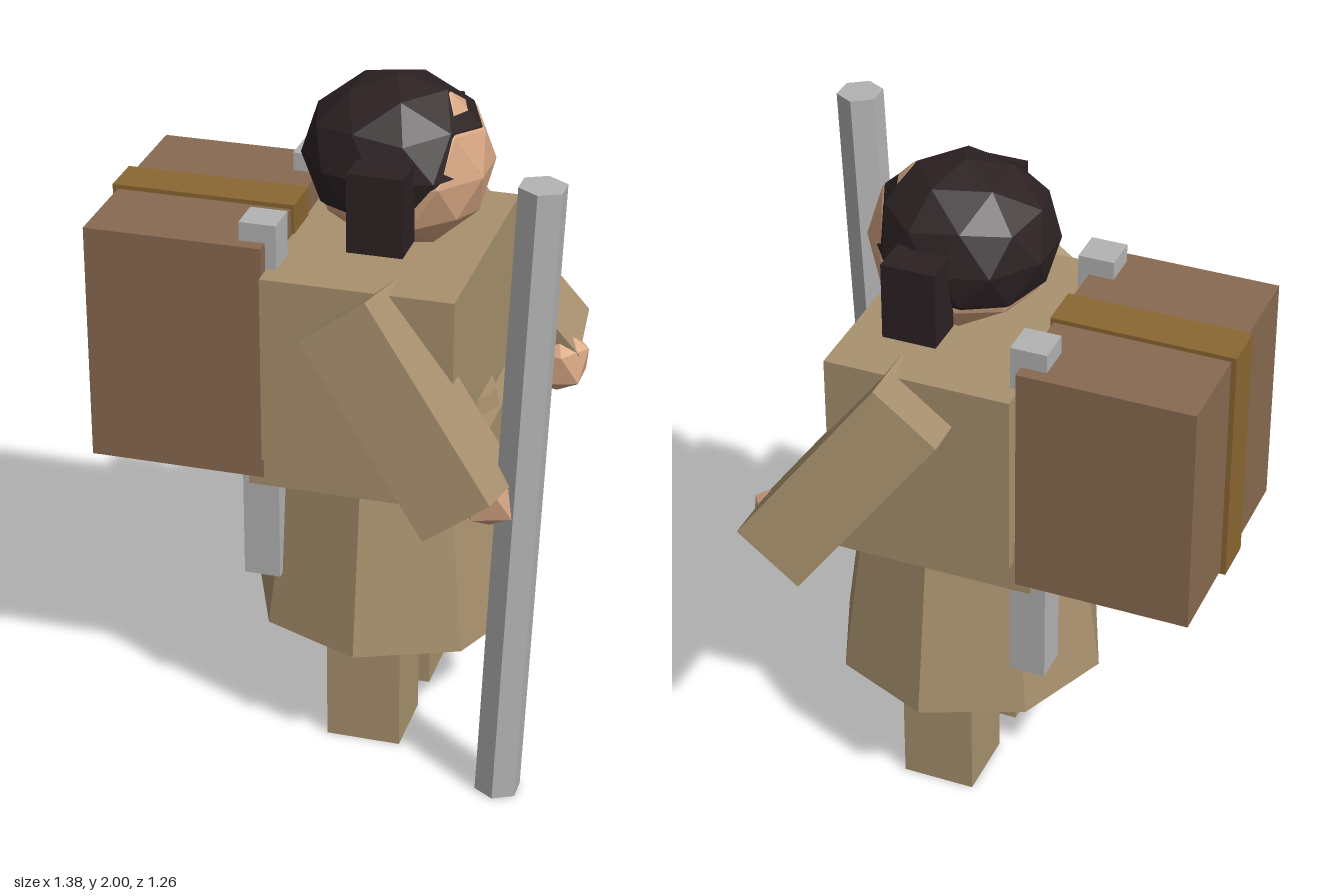
import * as THREE from 'three';

const mat = (name, color) => {
  const m = new THREE.MeshStandardMaterial({ color });
  m.name = name;
  m.flatShading = true;
  return m;
};

export function createModel() {
  const group = new THREE.Group();
  const robe = mat('robe tan', 0xa8916e);
  const skin = mat('skin', 0xd6a683);
  const hair = mat('dark hair', 0x2c2123);
  const pack = mat('pack brown', 0x896a51);
  const strap = mat('strap ochre', 0x8a6731);
  const grey = mat('grey', 0xb3b3b3);

  const add = (name, geo, m, x, y, z) => {
    const mesh = new THREE.Mesh(geo, m);
    mesh.name = name;
    mesh.position.set(x, y, z);
    group.add(mesh);
    return mesh;
  };
  // box given by its limits on each axis
  const box = (name, m, x0, x1, y0, y1, z0, z1) =>
    add(name, new THREE.BoxGeometry(x1 - x0, y1 - y0, z1 - z0), m,
      (x0 + x1) / 2, (y0 + y1) / 2, (z0 + z1) / 2);
  // faceted ball with a vertex at the top
  const ball = (name, m, detail, x, y, z, rx, ry, rz) => {
    const geo = new THREE.IcosahedronGeometry(1, detail);
    geo.rotateZ(-Math.atan(2 / (1 + Math.sqrt(5))));
    geo.scale(rx, ry, rz);
    return add(name, geo, m, x, y, z);
  };

  // robe: body, waistband and flared skirt
  box('torso', robe, -0.16, 0.39, 0.95, 1.51, -0.38, 0.38);
  box('waistband', robe, -0.21, 0.44, 0.85, 1.02, -0.345, 0.345);
  add('skirt', new THREE.CylinderGeometry(0.31, 0.41, 0.71, 8), robe, 0.115, 0.715, 0);

  // head and hair
  ball('head', skin, 1, 0.14, 1.75, 0, 0.262, 0.245, 0.245);
  ball('hair', hair, 1, 0.125, 1.77, 0, 0.268, 0.23, 0.257);

  // backpack with its band
  box('backpack', pack, -0.68, -0.165, 0.875, 1.585, -0.347, 0.347);
  box('packBand', strap, -0.695, -0.155, 0.863, 1.598, -0.068, 0.068);

  // paired parts
  for (const s of [1, -1]) {
    const side = s > 0 ? 'right' : 'left';
    const pair = (name, m, x0, x1, y0, y1, z0, z1) =>
      box(side + name, m, x0, x1, y0, y1, Math.min(s * z0, s * z1), Math.max(s * z0, s * z1));
    pair('Leg', robe, 0, 0.22, 0, 0.5, 0.065, 0.283);
    pair('PackPost', grey, -0.24, -0.133, 0.53, 1.64, 0.2, 0.307);
    pair('HairBun', hair, 0.074, 0.232, 1.6, 1.83, 0.21, 0.332);

    // sleeve: a box along u, placed from its outer upper back corner
    const u = new THREE.Vector3(0.38, -0.5, s * 0.11);
    const v = new THREE.Vector3(0.19, 0.13, 0);
    const length = u.length();
    const width = v.length();
    const depth = 0.25;
    u.normalize();
    v.addScaledVector(u, -v.dot(u)).normalize();
    const w = new THREE.Vector3().crossVectors(u, v);
    const sleeve = add(side + 'Sleeve', new THREE.BoxGeometry(length, width, depth), robe,
      -0.005, 1.41, s * 0.52);
    sleeve.position.addScaledVector(u, length / 2).addScaledVector(v, width / 2)
      .addScaledVector(w, -s * depth / 2);
    sleeve.quaternion.setFromRotationMatrix(new THREE.Matrix4().makeBasis(u, v, w));

    ball(side + 'Hand', skin, 0, 0.51, 0.975, s * 0.42, 0.105, 0.105, 0.108);
  }

  // leaning six-sided staff
  const staff = add('staff', new THREE.CylinderGeometry(0.068, 0.068, 1.895, 6), grey, 0.59, 0.95, 0.412);
  staff.rotation.z = -Math.atan(0.08 / 1.9);

  return group;
}
